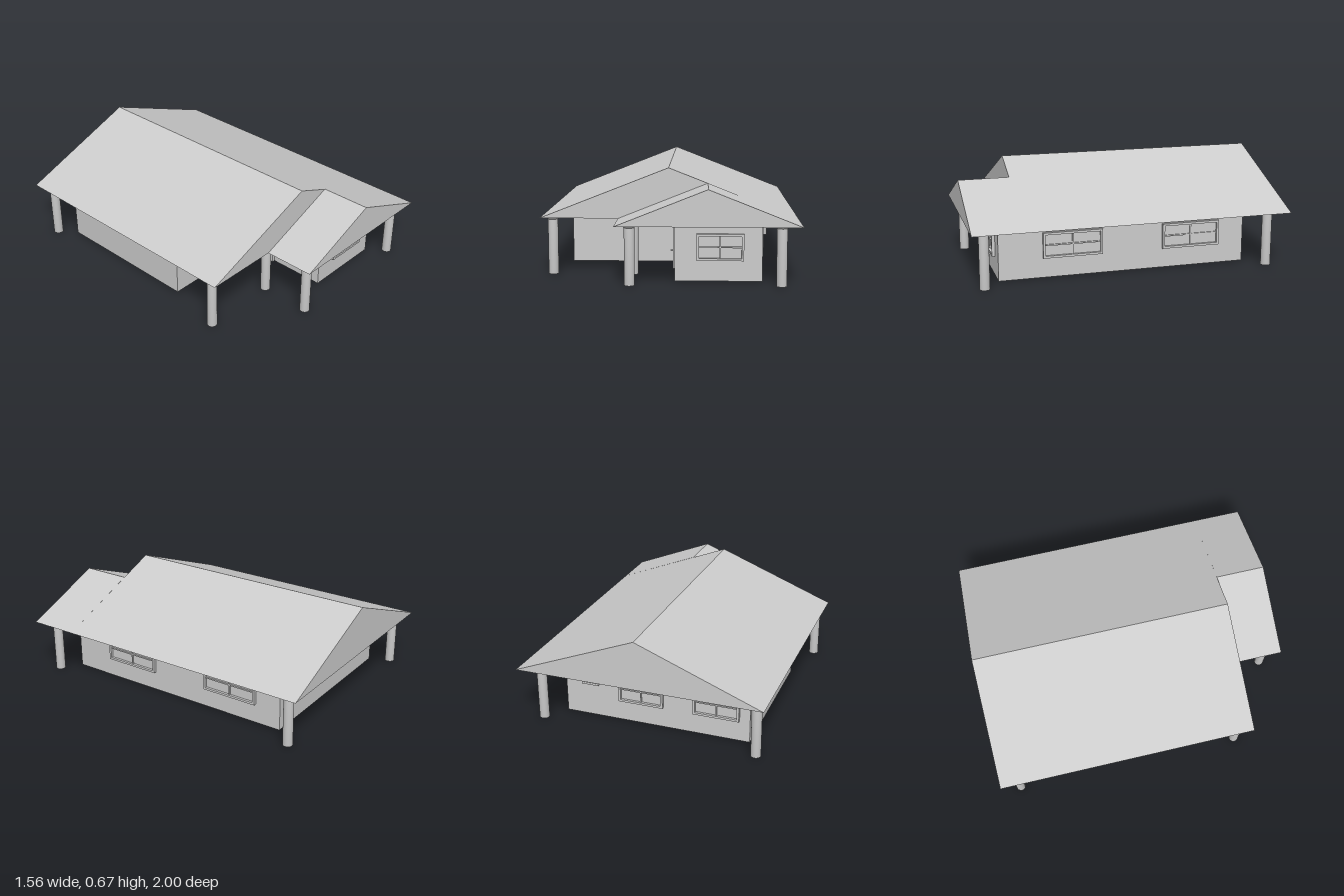
import * as THREE from 'three';

const grey = new THREE.MeshStandardMaterial({ color: 0xcccccc });
grey.name = 'plain grey';

const EAVE = 0.357;
const WALL_RIGHT = -0.64, WALL_LEFT = 0.56, WALL_BACK = -0.77, WALL_FRONT = 0.815;
const WING_X = 0.04, RECESS_Z = 0.22;

function add(parent, geometry, name, x = 0, y = 0, z = 0) {
  const mesh = new THREE.Mesh(geometry, grey);
  mesh.name = name;
  mesh.position.set(x, y, z);
  parent.add(mesh);
  return mesh;
}

// Closed triangular roof, running along z
function gable(parent, name, x0, ridgeX, ridgeY, x1, z0, z1) {
  const shape = new THREE.Shape([
    new THREE.Vector2(x0, EAVE),
    new THREE.Vector2(x1, EAVE),
    new THREE.Vector2(ridgeX, ridgeY),
  ]);
  const geometry = new THREE.ExtrudeGeometry(shape, { depth: z1 - z0, bevelEnabled: false });
  return add(parent, geometry, name, 0, 0, z0);
}

// Framed window with a cross of glazing bars; its back lies on z = 0
function makeWindow(name, w, h) {
  const group = new THREE.Group();
  group.name = name;
  const t = Math.min(0.014, w * 0.12);
  const rect = (path, a, b) => path.moveTo(-a, -b).lineTo(a, -b).lineTo(a, b).lineTo(-a, b).closePath();
  const frame = new THREE.Shape();
  rect(frame, w / 2, h / 2);
  const hole = new THREE.Path();
  rect(hole, w / 2 - t, h / 2 - t);
  frame.holes.push(hole);
  add(group, new THREE.ExtrudeGeometry(frame, { depth: 0.02, bevelEnabled: false }), 'windowFrame');
  add(group, new THREE.BoxGeometry(w - 2 * t, h - 2 * t, 0.004), 'windowPane', 0, 0, 0.002);
  add(group, new THREE.BoxGeometry(t * 0.6, h - 2 * t, 0.01), 'verticalBar', 0, 0, 0.007);
  add(group, new THREE.BoxGeometry(w - 2 * t, t * 0.6, 0.01), 'horizontalBar', 0, 0, 0.007);
  return group;
}

// Round post with a flared capital under the eave
function makePost(x, z) {
  const profile = [
    [0, 0], [0.031, 0], [0.031, 0.34], [0.031, 0.34], [0.036, 0.345],
    [0.036, 0.345], [0.041, 0.35], [0.041, 0.35], [0.041, EAVE], [0.041, EAVE], [0, EAVE],
  ].map(([r, y]) => new THREE.Vector2(r, y));
  const group = new THREE.Group();
  group.name = 'post';
  group.position.set(x, 0, z);
  add(group, new THREE.LatheGeometry(profile, 32), 'postShaft');
  return group;
}

export function createModel() {
  const house = new THREE.Group();
  house.name = 'house';

  // L-shaped body: plan drawn in x and -z, then extruded upward
  const plan = new THREE.Shape([
    [WALL_RIGHT, WALL_BACK], [WALL_RIGHT, RECESS_Z], [WING_X, RECESS_Z],
    [WING_X, WALL_FRONT], [WALL_LEFT, WALL_FRONT], [WALL_LEFT, WALL_BACK],
  ].map(([x, z]) => new THREE.Vector2(x, -z)));
  const body = new THREE.ExtrudeGeometry(plan, { depth: EAVE - 0.005, bevelEnabled: false });
  body.rotateX(-Math.PI / 2);
  add(house, body, 'walls', 0, 0.005, 0);

  // Main roof and the lower front wing sharing its left slope
  gable(house, 'mainRoof', -0.782, 0, 0.665, 0.782, -1, 0.68);
  gable(house, 'wingRoof', -0.305, 0.237, 0.573, 0.782, 0.68, 1);

  // Posts at the roof corners and around the porch
  for (const [x, z] of [
    [0.665, 0.915], [0.665, -0.89], [-0.713, -0.89],
    [-0.22, 0.915], [-0.22, 0.593], [-0.713, 0.593],
  ]) house.add(makePost(x, z));

  // Windows: position, size, turn about y
  const windows = [
    ['frontWindow', 0.31, 0.21, WALL_FRONT, 0.28, 0.16, 0],
    ['sideWindow', WALL_LEFT, 0.21, 0.353, 0.375, 0.16, Math.PI / 2],
    ['sideWindow', WALL_LEFT, 0.21, -0.412, 0.375, 0.16, Math.PI / 2],
    ['smallBackWindow', 0.39, 0.262, WALL_BACK, 0.11, 0.085, Math.PI],
    ['backWindow', 0.055, 0.222, WALL_BACK, 0.29, 0.165, Math.PI],
    ['backWindow', -0.43, 0.222, WALL_BACK, 0.29, 0.165, Math.PI],
  ];
  for (const [name, x, y, z, w, h, turn] of windows) {
    const win = makeWindow(name, w, h);
    win.position.set(x, y, z);
    win.rotation.y = turn;
    house.add(win);
  }

  // Door on the porch side of the wing, with a knob
  const door = new THREE.Group();
  door.name = 'door';
  door.position.set(WING_X, 0, 0.375);
  add(door, new THREE.BoxGeometry(0.02, 0.27, 0.15), 'doorPanel', -0.01, 0.14, 0);
  const stem = add(door, new THREE.CylinderGeometry(0.003, 0.003, 0.014, 12), 'knobStem', -0.024, 0.118, 0.055);
  stem.rotation.z = Math.PI / 2;
  add(door, new THREE.SphereGeometry(0.007, 16, 12), 'knob', -0.03, 0.118, 0.055);
  house.add(door);

  return house;
}
